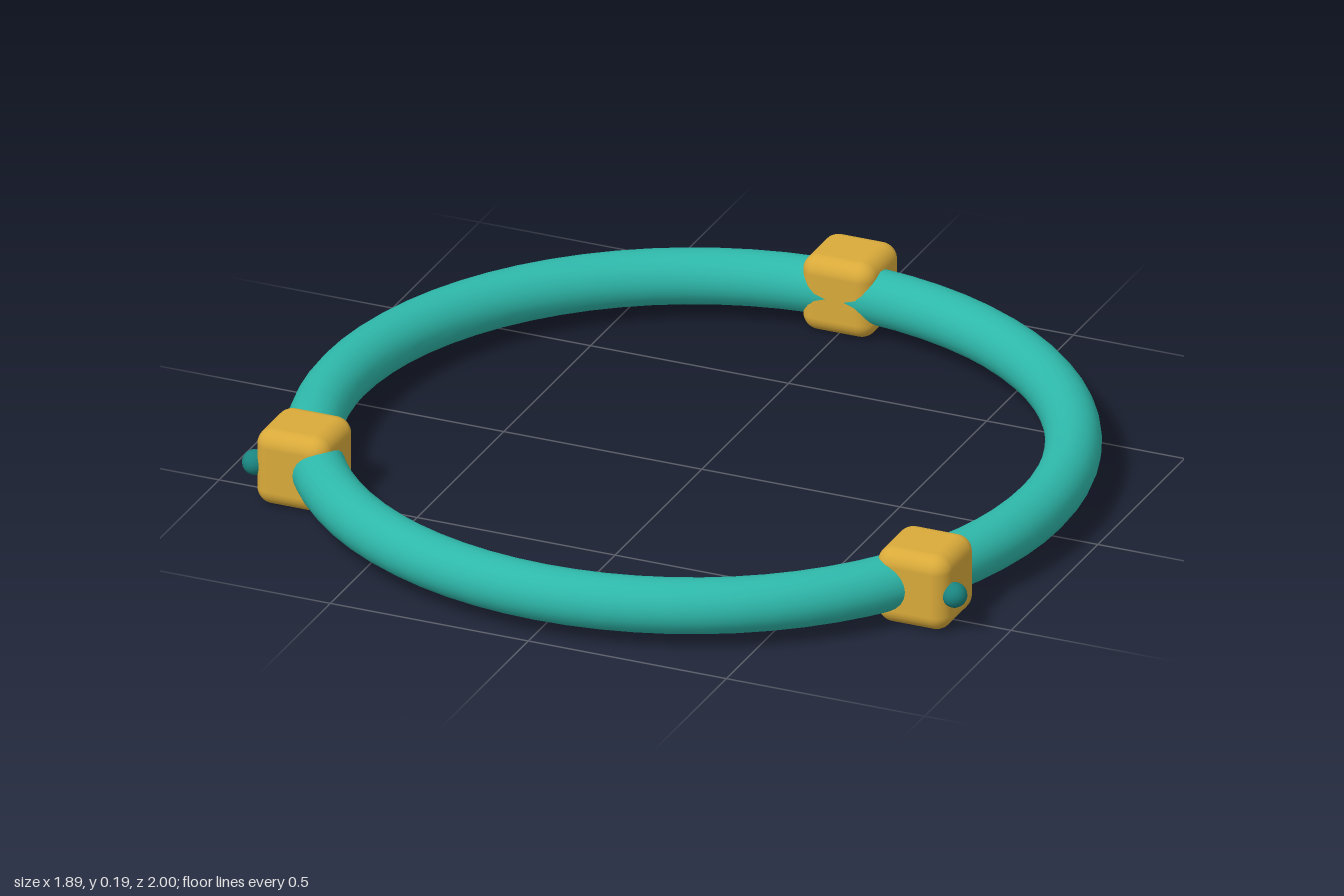
import * as THREE from 'three';
import { RoundedBoxGeometry } from 'three/addons/geometries/RoundedBoxGeometry.js';

const CENTER_Y = 0.095, CENTER_Z = 0.05;

export function createModel() {
  const teal = new THREE.MeshStandardMaterial({ name: 'teal', color: 0x2eb8aa });
  const gold = new THREE.MeshStandardMaterial({ name: 'gold', color: 0xd9aa3a });
  const darkTeal = new THREE.MeshStandardMaterial({ name: 'dark teal', color: 0x1a8580 });

  const model = new THREE.Group();
  model.name = 'ringWithClamps';

  const add = (name, geometry, material, x, z) => {
    const mesh = new THREE.Mesh(geometry, material);
    mesh.name = name;
    mesh.position.set(x, CENTER_Y, z + CENTER_Z);
    model.add(mesh);
  };

  // Round tube lying flat
  const ring = new THREE.TorusGeometry(0.88, 0.066, 24, 72);
  ring.rotateX(Math.PI / 2);
  add('ring', ring, teal, 0, 0);

  // Three upright rounded blocks, each with a small bead on its outer side
  const block = new RoundedBoxGeometry(0.184, 0.19, 0.184, 5, 0.04);
  const bead = new THREE.SphereGeometry(0.03, 20, 14);
  const places = [['back', -90], ['left', 30], ['right', 150]];
  for (const [side, degrees] of places) {
    const angle = THREE.MathUtils.degToRad(degrees);
    const dx = Math.cos(angle), dz = Math.sin(angle);
    add(side + 'Block', block, gold, 0.905 * dx, 0.905 * dz);
    add(side + 'Bead', bead, darkTeal, 1.02 * dx, 1.02 * dz);
  }
  return model;
}
